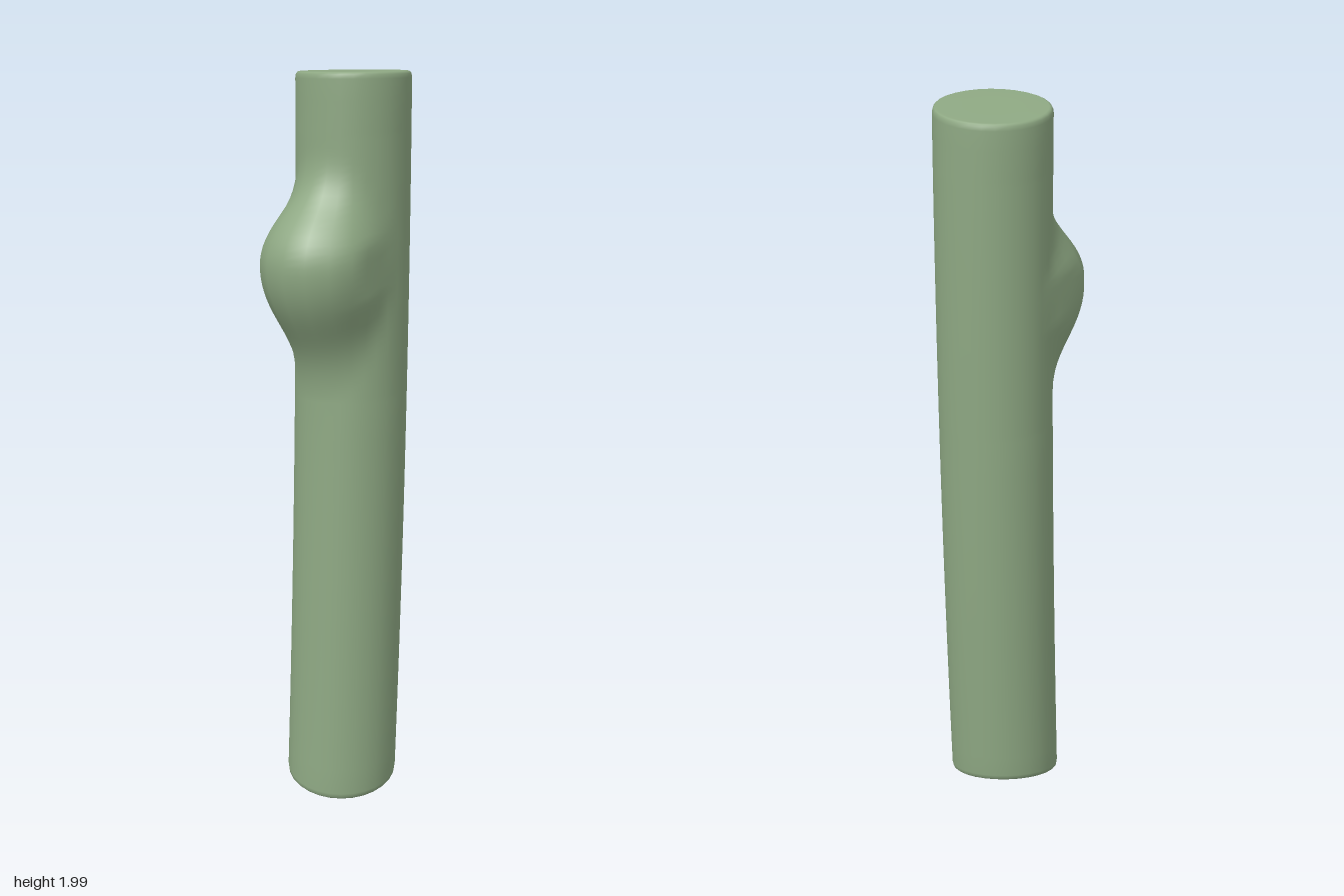
import * as THREE from 'three';

const SIDES = 28;
const BOTTOM = 0.04, TOP = 1.992;

// Gently curved centre line and slight taper of the stem
const axisZ = y => -0.018 - 0.052 * (1 - (1 - y / 2) ** 2);
const stemRadius = y => 0.15 + 0.0025 * y;

// Distance to the stem, blended smoothly with the ball-shaped knob on its front
function distance(x, y, z, front) {
  const stem = Math.hypot(x, z - axisZ(y)) - stemRadius(y);
  const ry = y < 1.49 ? 0.16 : 0.125;
  const knob = (Math.hypot(x / 0.15, (y - 1.49) / ry, (z - 0.085) / 0.135) - 1) * 0.135;
  const k = 0.03 + 0.17 * Math.max(0, front);
  const h = Math.max(k - Math.abs(stem - knob), 0) / k;
  return Math.min(stem, knob) - h * h * k / 4;
}

// Surface radius in one direction from the centre line
function surfaceRadius(y, sx, cz) {
  let lo = 0.05, hi = 0.45;
  for (let i = 0; i < 24; i++) {
    const r = (lo + hi) / 2;
    if (distance(r * sx, y, axisZ(y) + r * cz, cz) < 0) lo = r; else hi = r;
  }
  return lo;
}

function stemGeometry() {
  // Rows of [height, scale]: cut bottom, rounded rim, stem, rounded rim, cut top
  const rows = [[BOTTOM, 0], [BOTTOM, 0.5], [BOTTOM, 0.9], [BOTTOM + 0.002, 0.95], [BOTTOM + 0.007, 0.985], [BOTTOM + 0.018, 1]];
  for (let y = 0.12; y < 1.1; y += 0.1) rows.push([y, 1]);
  for (let y = 1.12; y < 1.86; y += 0.02) rows.push([y, 1]);
  rows.push([1.92, 1], [TOP - 0.018, 1], [TOP - 0.007, 0.99], [TOP - 0.002, 0.965], [TOP, 0.93], [TOP, 0.5], [TOP, 0]);

  const positions = [], index = [];
  rows.forEach(([y, scale], i) => {
    const low = Math.max(0, 1 - (y - BOTTOM) / 0.5);
    const high = Math.max(0, 1 - (TOP - y) / 0.3);
    for (let j = 0; j < SIDES; j++) {
      const a = j / SIDES * Math.PI * 2, sx = Math.sin(a), cz = Math.cos(a);
      const r = surfaceRadius(y, sx, cz) * scale;
      const x = THREE.MathUtils.clamp(r * sx, -0.155, 0.155), dz = r * cz;
      // Both ends are cut at a slant
      const tilt = low * (-0.16 * x - 0.2 * dz) + high * 0.04 * (x + dz);
      positions.push(x, y + tilt, axisZ(y) + dz);
      if (i < rows.length - 1) {
        const p = i * SIDES + j, q = i * SIDES + (j + 1) % SIDES;
        index.push(p, q, q + SIDES, p, q + SIDES, p + SIDES);
      }
    }
  });
  const geometry = new THREE.BufferGeometry();
  geometry.setAttribute('position', new THREE.Float32BufferAttribute(positions, 3));
  geometry.setIndex(index);
  geometry.computeVertexNormals();
  return geometry;
}

export function createModel() {
  const group = new THREE.Group();
  group.name = 'branch';
  const sageGreen = new THREE.MeshStandardMaterial({ color: 0x8ea883 });
  sageGreen.name = 'sageGreen';
  const stem = new THREE.Mesh(stemGeometry(), sageGreen);
  stem.name = 'stemWithKnob';
  group.add(stem);
  return group;
}
